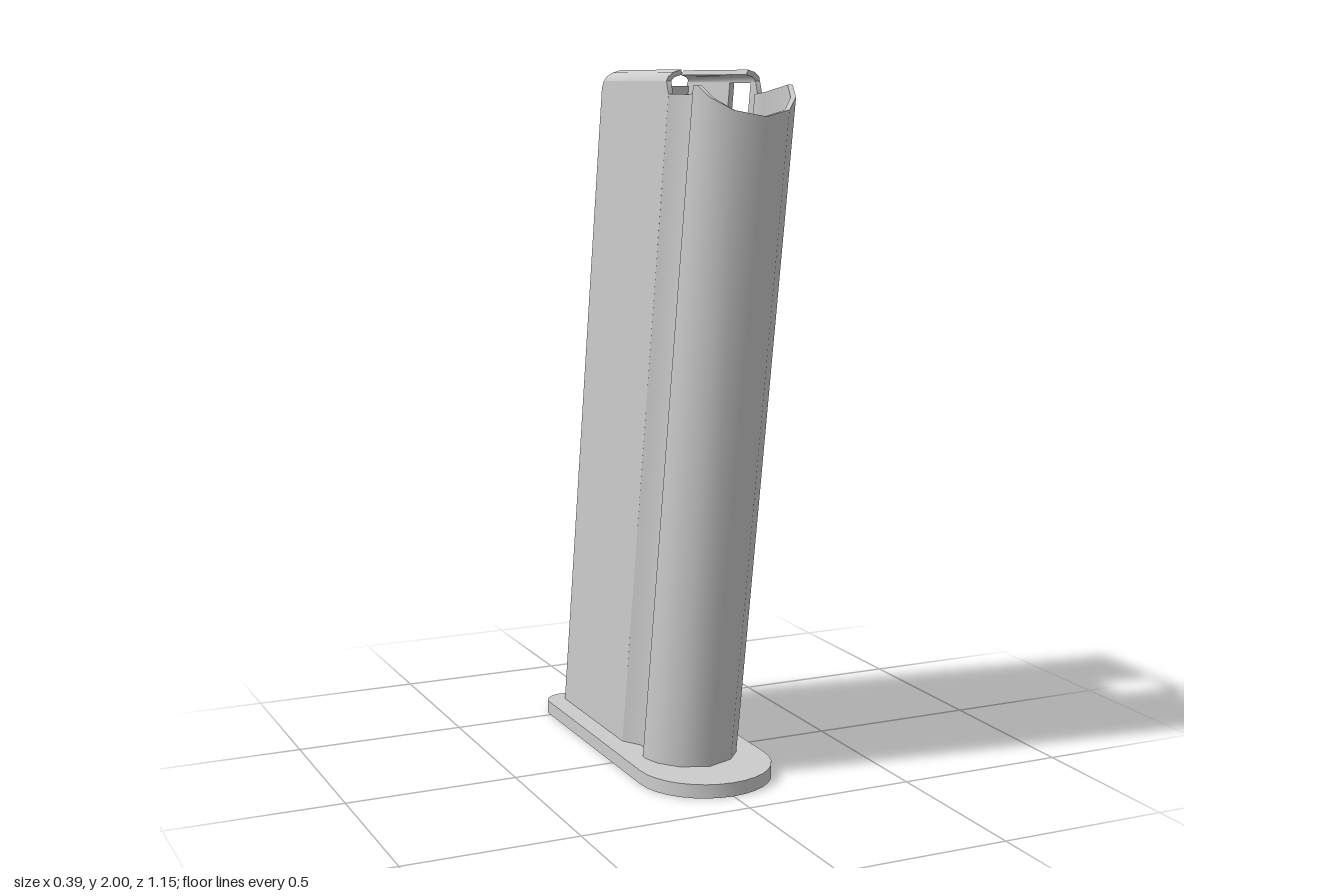
import * as THREE from 'three';
import { toCreasedNormals } from 'three/addons/utils/BufferGeometryUtils.js';

const T = 0.014;        // sheet thickness
const W = 0.14;         // half width of the body
const BASE = 0.04;      // top of the floor plate
const SLOPE = 0.174;    // forward lean of the body
const lean = (z, y) => z + SLOPE * (y - BASE);

const material = new THREE.MeshStandardMaterial({ color: 0xcccccc });

function addMesh(group, name, geometry, crease = 0.6) {
  const mesh = new THREE.Mesh(toCreasedNormals(geometry, crease), material);
  mesh.name = name;
  group.add(mesh);
}

// Closed sheet ring: the 2D path followed by its offset copy in reverse
function sheetRing(path) {
  const inner = path.map((p, i) => {
    const a = path[Math.max(i - 1, 0)], b = path[Math.min(i + 1, path.length - 1)];
    const dx = b[0] - a[0], dy = b[1] - a[1], l = Math.hypot(dx, dy);
    return [p[0] - (dy / l) * T, p[1] + (dx / l) * T, p[2]];
  });
  return [...path, ...inner.reverse()];
}

// Solid between two matching sheet rings of 3D points
function loft(A, B) {
  const pos = [], m = A.length;
  const quad = (a, b, c, d) => pos.push(...a, ...b, ...c, ...a, ...c, ...d);
  for (let i = 0; i < m; i++) {
    const j = (i + 1) % m;
    quad(A[i], B[i], B[j], A[j]);
  }
  for (let i = 0; i < m / 2 - 1; i++) {
    const k = m - 1 - i;
    quad(B[i], B[k], B[k - 1], B[i + 1]);
    quad(A[i], A[i + 1], A[k - 1], A[k]);
  }
  const g = new THREE.BufferGeometry();
  g.setAttribute('position', new THREE.Float32BufferAttribute(pos, 3));
  return g;
}

// Side outline (z, y) extruded across x, ending at xMax
function sidePlate(shape, depth, xMax) {
  const g = new THREE.ExtrudeGeometry(shape, { depth, bevelEnabled: false, curveSegments: 10 });
  return g.rotateY(-Math.PI / 2).translate(xMax, 0, 0);
}

function sideShape(withSlot) {
  const s = new THREE.Shape();
  s.moveTo(lean(-0.06, BASE), BASE);
  s.lineTo(0.27, 1.935);
  s.lineTo(0.257, 1.97);
  if (withSlot) {
    // Slot with a rounded lower end, closed above by the lip
    const cy = 1.525, r = 0.064, cz = lean(-0.171, cy);
    s.lineTo(lean(-0.107, 1.97), 1.97);
    s.lineTo(cz + r, cy);
    s.absarc(cz, cy, r, 0, -Math.PI, true);
    s.lineTo(lean(-0.235, 1.97), 1.97);
  }
  s.lineTo(-0.174, 1.97);
  s.lineTo(lean(-0.52, 1.95), 1.95);
  s.lineTo(-0.52, BASE);
  s.closePath();
  return s;
}

export function createModel() {
  const model = new THREE.Group();
  model.name = 'magazine';

  // Floor plate: square back with rounded corners, round front
  const w = 0.197, back = 0.575, r = 0.065;
  const plate = new THREE.Shape();
  plate.moveTo(w, -0.2);
  plate.lineTo(w, back - r);
  plate.absarc(w - r, back - r, r, 0, Math.PI / 2, false);
  plate.absarc(-w + r, back - r, r, Math.PI / 2, Math.PI, false);
  plate.lineTo(-w, -0.2);
  plate.absellipse(0, -0.2, w, 0.2, Math.PI, Math.PI * 2, false, 0);
  const plateGeo = new THREE.ExtrudeGeometry(plate, { depth: BASE, bevelEnabled: false, curveSegments: 8 });
  addMesh(model, 'floorPlate', plateGeo.rotateX(-Math.PI / 2));

  // Flat side walls, the left one slotted
  addMesh(model, 'leftWall', sidePlate(sideShape(true), T, W));
  addMesh(model, 'rightWall', sidePlate(sideShape(false), T, -W + T));

  // Back wall
  const backShape = new THREE.Shape([
    [-0.503, BASE], [lean(-0.503, 1.955), 1.955], [lean(-0.52, 1.955), 1.955], [-0.52, BASE],
  ].map(p => new THREE.Vector2(...p)));
  addMesh(model, 'backWall', sidePlate(backShape, 2 * (W - T), W - T));

  // Rounded front with a groove down each side: x, z at the base, rim height
  const half = [
    [0.14, -0.06, 1.935], [0.105, -0.005, 1.935], [0.105, 0.04, 1.94], [0.14, 0.09, 1.958],
    [0.14, 0.112, 1.96], [0.125, 0.165, 1.928], [0.08, 0.22, 1.896],
  ];
  const mirrored = half.map(([x, z, y]) => [-x, z, y]).reverse();
  // Walk from left to right around the front, offsetting to the inside
  const ring = sheetRing([...half, [0, 0.25, 1.88], ...mirrored].map(([x, z, y]) => [x, -z, y]))
    .map(([x, z, y]) => [x, -z, y]);
  const inward = ring[ring.length / 2][0] > -W ? ring : null;
  const frontRing = inward || ring.map(([x, z, y], i) => {
    const p = ring[i < ring.length / 2 ? i : ring.length - 1 - i];
    return i < ring.length / 2 ? [x, z, y] : [2 * p[0] - x, 2 * p[1] - z, y];
  });
  addMesh(model, 'groovedFront', loft(
    frontRing.map(([x, z]) => [x, BASE, z]),
    frontRing.map(([x, z, y]) => [x, y, lean(z, y)]),
  ), 0.8);

  // Feed lips curling inward along the top of both side walls
  const lip = sheetRing([[0.14, 1.968], [0.136, 1.981], [0.122, 1.993], [0.1, 2.0]]);
  for (const [name, side] of [['leftLip', 1], ['rightLip', -1]]) {
    const section = lip.map(([x, y]) => [x * side, y]);
    if (side < 0) section.reverse();
    addMesh(model, name, loft(
      section.map(([x, y]) => [x, y, 0.257 + (y - 1.97) * 0.27]),
      section.map(([x, y]) => [x, y, -0.174 + (y - 1.97) * 0.9]),
    ), 0.8);
  }

  return model;
}
